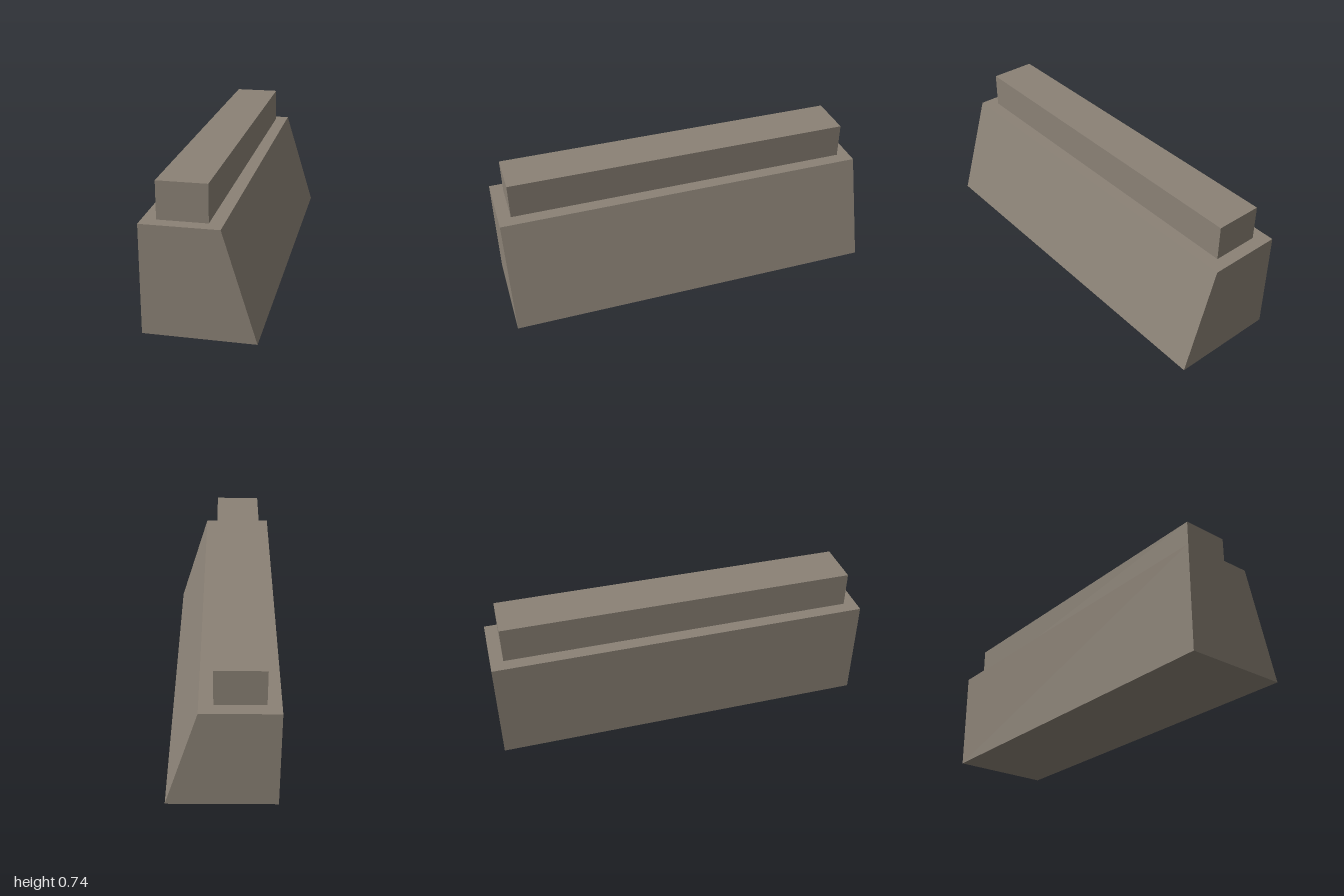
import * as THREE from 'three';

export function createModel() {
  const group = new THREE.Group();
  group.name = 'steppedBarrier';
  const stone = new THREE.MeshStandardMaterial({ color: 0x8b8276 });
  stone.name = 'stone';

  // Base: upright on one side, battered on the other, extruded along z
  const profile = new THREE.Shape([
    new THREE.Vector2(-0.277, 0),
    new THREE.Vector2(0.277, 0),
    new THREE.Vector2(0.108, 0.555),
    new THREE.Vector2(-0.277, 0.555),
  ]);
  const baseGeometry = new THREE.ExtrudeGeometry(profile, { depth: 2, bevelEnabled: false });
  baseGeometry.translate(0, 0, -1);
  const base = new THREE.Mesh(baseGeometry, stone);
  base.name = 'base';

  // Narrower wall standing on the base, set in on all sides
  const height = 0.189;
  const upperWall = new THREE.Mesh(new THREE.BoxGeometry(0.247, height, 1.866), stone);
  upperWall.name = 'upperWall';
  upperWall.position.set(-0.085, 0.555 + height / 2, 0);

  group.add(base, upperWall);
  return group;
}
